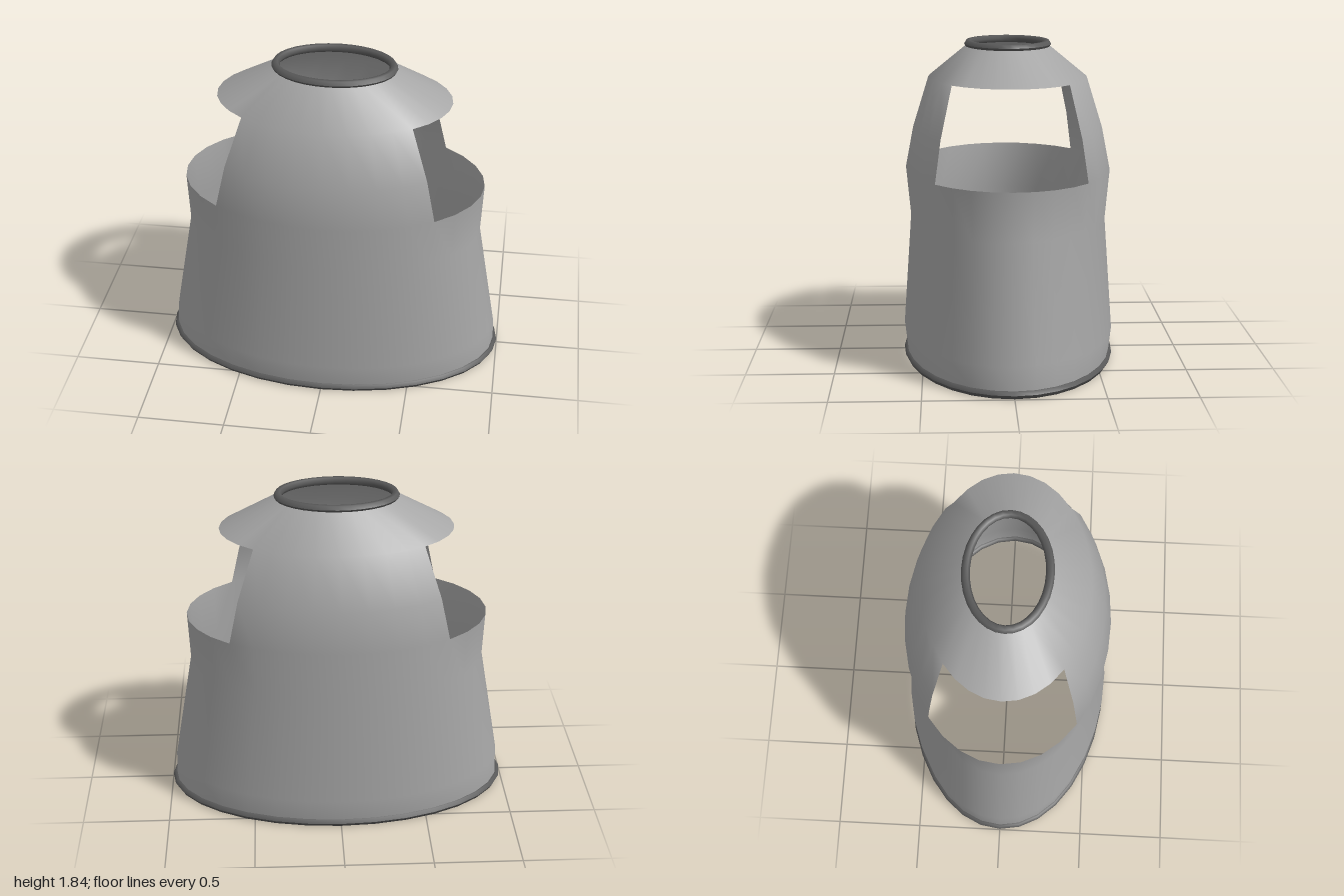
import * as THREE from 'three';

const SEGMENTS = 32;

// Skins a list of elliptical loops [y, x radius, z radius]; skip(row, angle) leaves openings.
function ellipticalSkin(loops, skip = () => false) {
  const positions = [];
  const index = [];
  for (const [y, a, b] of loops) {
    for (let i = 0; i < SEGMENTS; i++) {
      const t = (i / SEGMENTS) * Math.PI * 2;
      positions.push(a * Math.cos(t), y, b * Math.sin(t));
    }
  }
  for (let row = 0; row < loops.length - 1; row++) {
    for (let i = 0; i < SEGMENTS; i++) {
      if (skip(row, ((i + 0.5) / SEGMENTS) * Math.PI * 2)) continue;
      const p = row * SEGMENTS + i;
      const q = row * SEGMENTS + ((i + 1) % SEGMENTS);
      index.push(p, p + SEGMENTS, q + SEGMENTS, p, q + SEGMENTS, q);
    }
  }
  const geometry = new THREE.BufferGeometry();
  geometry.setAttribute('position', new THREE.Float32BufferAttribute(positions, 3));
  geometry.setIndex(index);
  geometry.computeVertexNormals();
  return geometry;
}

// Rolled edge: a six-sided bead following an ellipse.
function bead(y, a, b, r) {
  const loops = [];
  for (let k = 0; k <= 6; k++) {
    const u = (k / 6) * Math.PI * 2;
    loops.push([y + r * Math.sin(u), a + r * Math.cos(u), b + r * Math.cos(u)]);
  }
  return ellipticalSkin(loops);
}

export function createModel() {
  const group = new THREE.Group();
  const cloth = new THREE.MeshStandardMaterial({ color: 0xa6a6a6, side: THREE.DoubleSide });
  cloth.name = 'light grey';
  const trim = new THREE.MeshStandardMaterial({ color: 0x585858 });
  trim.name = 'dark grey';

  const add = (name, geometry, material) => {
    const mesh = new THREE.Mesh(geometry, material);
    mesh.name = name;
    group.add(mesh);
  };

  // Open shell, from hem to neck
  const profile = [
    [0.02, 0.978, 0.595],
    [0.17, 0.972, 0.613],
    [0.82, 0.86, 0.568],
    [1.105, 0.873, 0.595],
    [1.34, 0.802, 0.55],
    [1.63, 0.67, 0.46],
    [1.815, 0.335, 0.235],
  ];
  // Side openings: the two rows between 1.1 and 1.63, a quarter turn wide on each side
  const armOpening = (row, t) =>
    (row === 3 || row === 4) && Math.abs(Math.cos(t)) > Math.SQRT1_2;
  add('shell', ellipticalSkin(profile, armOpening), cloth);

  // Beads at both ends
  add('hemBead', bead(0.02, 0.977, 0.592, 0.023), trim);
  add('neckBead', bead(1.82, 0.333, 0.227, 0.024), trim);

  return group;
}
